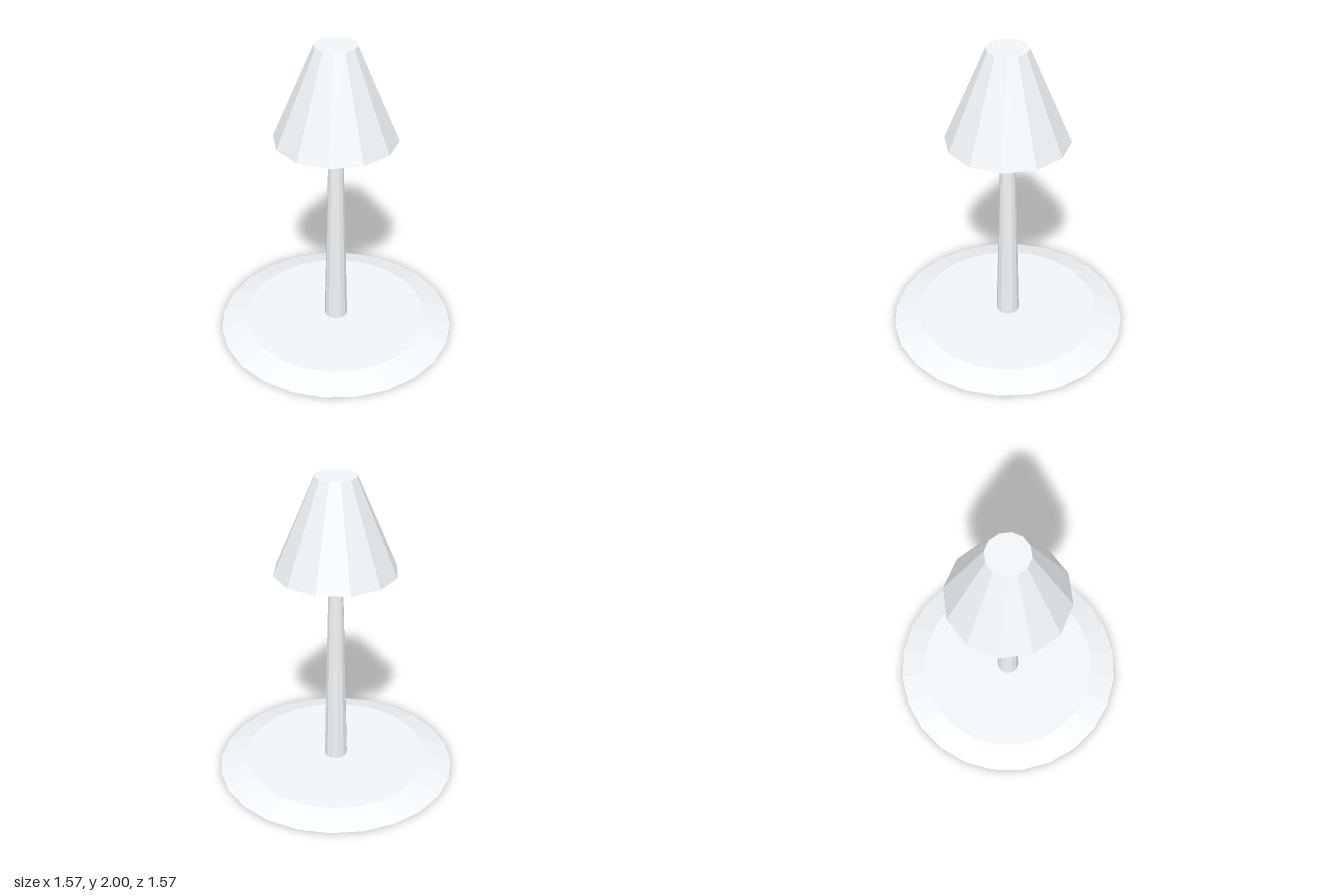
import * as THREE from 'three';

const material = new THREE.MeshStandardMaterial({ color: 0xf1f5f8, flatShading: true });

// Closed, faceted cone section standing between two heights
function taper(name, topRadius, bottomRadius, y0, y1, sides) {
  const geometry = new THREE.CylinderGeometry(topRadius, bottomRadius, y1 - y0, sides);
  const mesh = new THREE.Mesh(geometry, material);
  mesh.name = name;
  mesh.position.y = (y0 + y1) / 2;
  return mesh;
}

export function createModel() {
  const lamp = new THREE.Group();
  lamp.name = 'tableLamp';
  lamp.add(
    taper('base', 0.61, 0.783, 0, 0.053, 24), // wide bevelled disc
    taper('stem', 0.045, 0.077, 0.053, 1.395, 12), // slim tapering post
    taper('shade', 0.13, 0.39, 1.395, 2, 12) // closed conical shade
  );
  return lamp;
}
